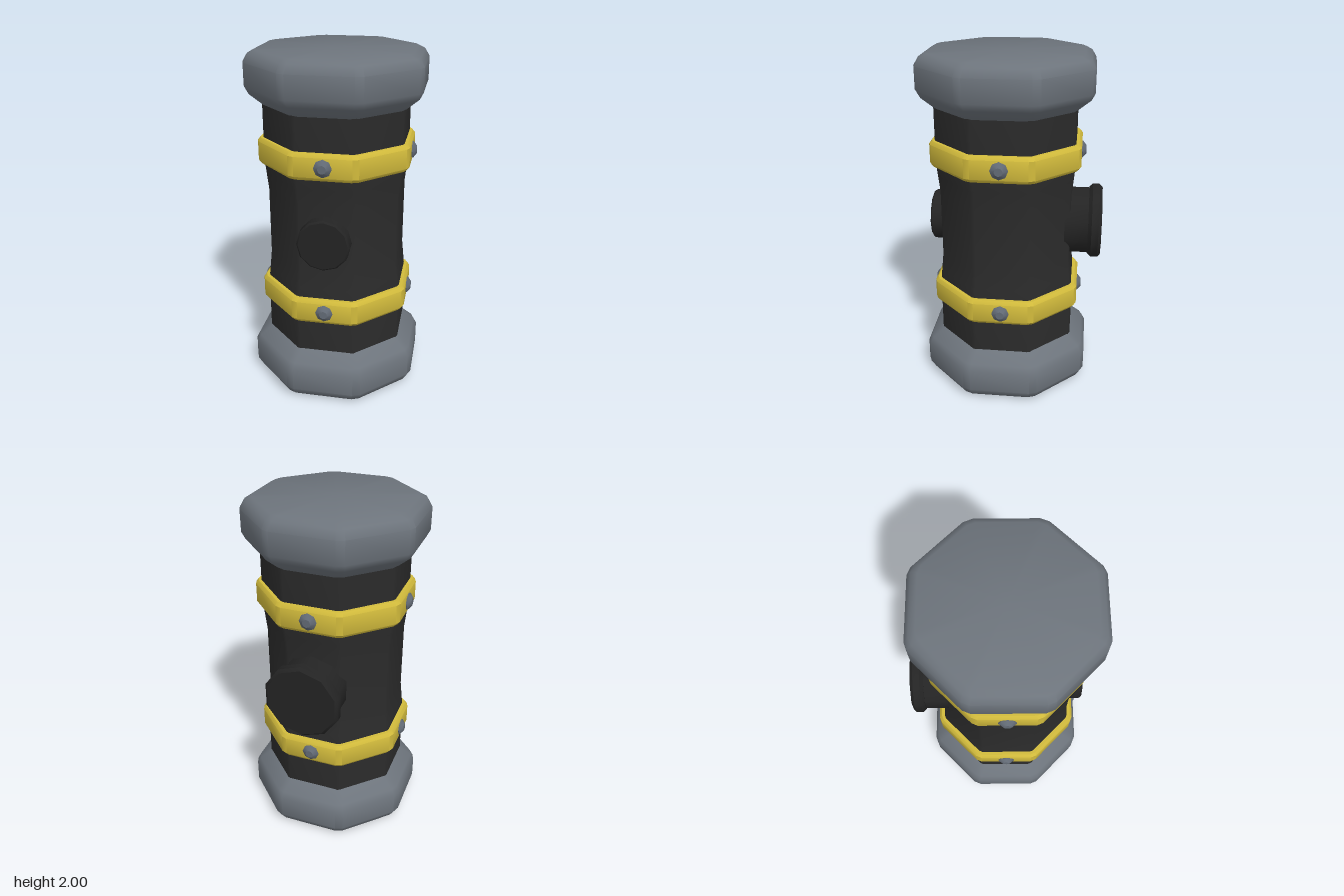
import * as THREE from 'three';
import { mergeVertices, toCreasedNormals } from 'three/addons/utils/BufferGeometryUtils.js';

const CZ = 0.035; // the octagonal body's axis sits slightly forward

const steel = new THREE.MeshStandardMaterial({ color: 0x6d747c });
steel.name = 'grey steel';
const black = new THREE.MeshStandardMaterial({ color: 0x2b2b2b });
black.name = 'black casing';
const dark = new THREE.MeshStandardMaterial({ color: 0x242424 });
dark.name = 'dark fitting';
const yellow = new THREE.MeshStandardMaterial({ color: 0xd2bb3c });
yellow.name = 'yellow band';
const bolt = new THREE.MeshStandardMaterial({ color: 0x636b76 });
bolt.name = 'bolt steel';

const points = (profile) => profile.map(([r, y]) => new THREE.Vector2(r, y));

// Octagonal prism with chamfered corners; the profile lists [apothem, y] upwards
function octagon(profile, chamfer) {
  const geo = new THREE.LatheGeometry(points(profile), 16);
  const pos = geo.attributes.position;
  const rows = profile.length;
  for (let i = 0; i < pos.count; i++) {
    const column = Math.floor(i / rows) % 16;
    const a = profile[i % rows][0];
    const half = Math.max(a * Math.tan(Math.PI / 8) - chamfer, 0);
    const face = Math.floor(column / 2) * Math.PI / 4;
    const angle = face + (column % 2 ? 1 : -1) * Math.atan2(half, a);
    const r = a === 0 ? 0 : Math.hypot(a, half);
    pos.setXYZ(i, Math.sin(angle) * r, profile[i % rows][1], Math.cos(angle) * r);
  }
  geo.deleteAttribute('normal');
  geo.deleteAttribute('uv');
  return toCreasedNormals(mergeVertices(geo), 0.65);
}

// Round fitting whose axis points along +z
function fitting(profile, sides) {
  const geo = new THREE.LatheGeometry(points(profile), sides);
  geo.rotateX(Math.PI / 2);
  return toCreasedNormals(geo, 0.65);
}

export function createModel() {
  const model = new THREE.Group();
  model.name = 'canister';
  const add = (name, geometry, material, z = CZ, y = 0) => {
    const mesh = new THREE.Mesh(geometry, material);
    mesh.name = name;
    mesh.position.set(0, y, z);
    model.add(mesh);
    return mesh;
  };

  // Waisted octagonal casing
  add('casing', octagon([
    [0.398, 0.2], [0.398, 0.62], [0.39, 0.7], [0.38, 0.8],
    [0.38, 1.2], [0.39, 1.3], [0.398, 1.38], [0.398, 1.8],
  ], 0.012), black);

  // Heavy end caps, the upper one mirrored from the lower
  const cap = [[0, 0], [0.43, 0], [0.465, 0.02], [0.49, 0.065], [0.49, 0.195], [0.47, 0.235], [0.4, 0.297], [0, 0.297]];
  add('bottomCap', octagon(cap, 0.025), steel);
  add('topCap', octagon(cap.map(([r, y]) => [r, 2 - y]).reverse(), 0.025), steel);

  // Bands, each with four bolts
  const band = octagon([[0.38, -0.075], [0.415, -0.075], [0.43, -0.055], [0.43, 0.055], [0.415, 0.075], [0.38, 0.075]], 0.02);
  const boltShape = fitting([[0.05, 0.41], [0.05, 0.435], [0.024, 0.455], [0, 0.455]], 8);
  for (const [label, y] of [['lower', 0.57], ['upper', 1.44]]) {
    add(label + 'Band', band, yellow, CZ, y);
    for (let i = 0; i < 4; i++) {
      add(label + 'Bolt' + (i + 1), boltShape, bolt, CZ, y).rotation.y = i * Math.PI / 2;
    }
  }

  // Front button
  add('frontButton', fitting([[0.15, 0.36], [0.15, 0.475], [0.14, 0.485], [0, 0.485]], 12), dark, 0, 1);

  // Rear port: stem and wider flange
  add('rearStem', fitting([[0.2, 0.25], [0.2, 0.46]], 10), dark, 0, 1).rotation.y = Math.PI;
  add('rearFlange', fitting([
    [0, 0.448], [0.205, 0.448], [0.225, 0.468], [0.225, 0.508], [0.208, 0.525], [0, 0.525],
  ], 10), dark, 0, 1).rotation.y = Math.PI;

  return model;
}
